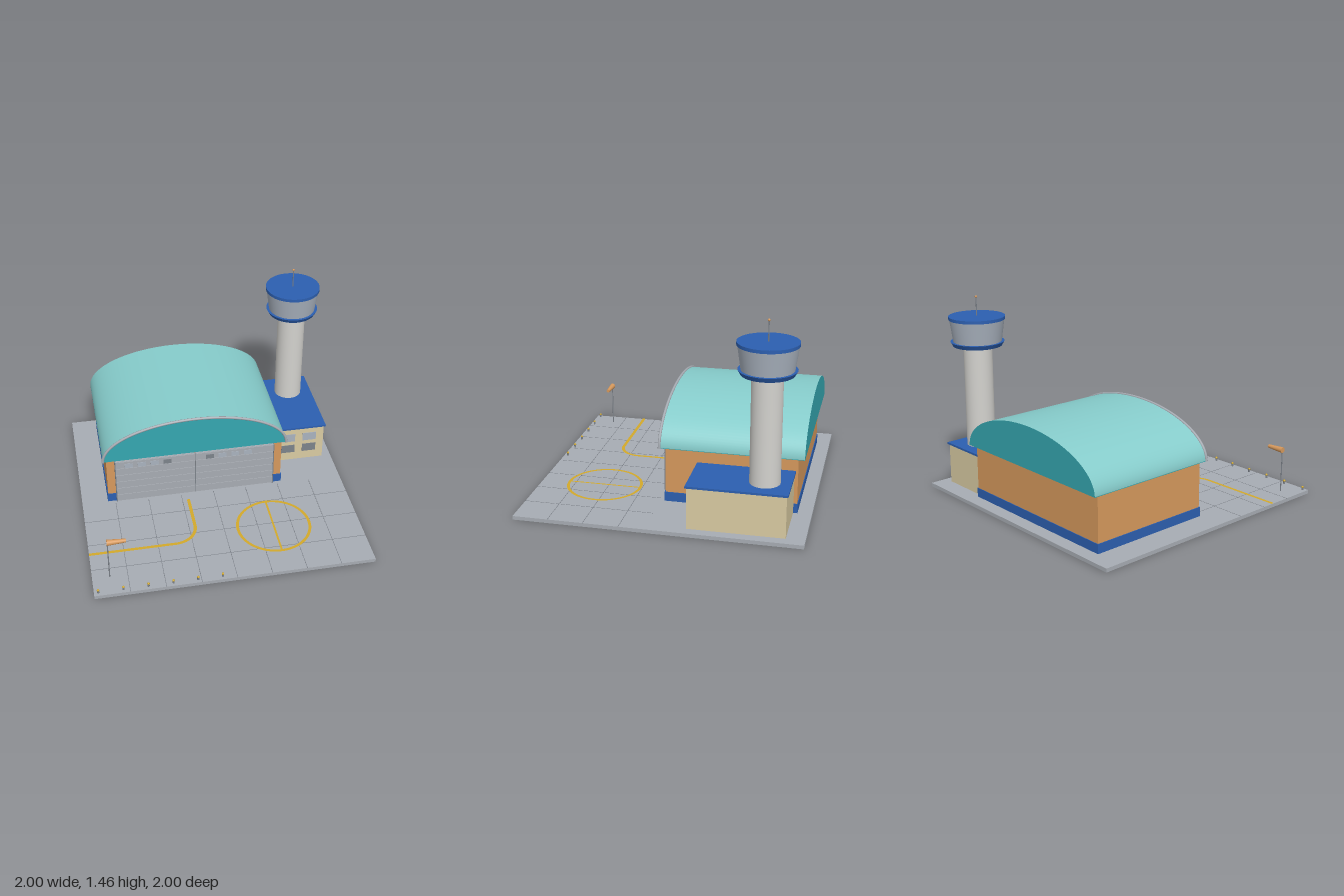
import * as THREE from 'three';

const paint = (name, color) => {
  const m = new THREE.MeshStandardMaterial({ color });
  m.name = name;
  return m;
};

export function createModel() {
  const concrete = paint('concrete grey', 0xa7acb3);
  const orange = paint('wall orange', 0xd6995d);
  const blue = paint('trim blue', 0x2c5fb0);
  const paleTeal = paint('roof pale teal', 0x86cccb);
  const teal = paint('gable teal', 0x35a7b0);
  const beige = paint('annex beige', 0xd9cba2);
  const plaster = paint('tower plaster', 0xd3d2ce);
  const glass = paint('glass grey', 0xa9b2be);
  const dark = paint('dark grey', 0x7d838b);
  const yellow = paint('marking yellow', 0xd2a92c);
  paleTeal.side = THREE.DoubleSide;

  const model = new THREE.Group();
  model.name = 'airfield';
  const group = (name) => {
    const g = new THREE.Group();
    g.name = name;
    model.add(g);
    return g;
  };
  const add = (parent, name, geo, mat, x = 0, y = 0, z = 0) => {
    const mesh = new THREE.Mesh(geo, mat);
    mesh.name = name;
    mesh.position.set(x, y, z);
    parent.add(mesh);
    return mesh;
  };
  // Box given by its minimum and maximum on each axis
  const box = (parent, name, mat, x0, x1, y0, y1, z0, z1) =>
    add(parent, name, new THREE.BoxGeometry(x1 - x0, y1 - y0, z1 - z0), mat,
      (x0 + x1) / 2, (y0 + y1) / 2, (z0 + z1) / 2);
  // Upright round part from y0 to y1
  const round = (parent, name, mat, x, z, y0, y1, r0, r1 = r0, sides = 40) =>
    add(parent, name, new THREE.CylinderGeometry(r1, r0, y1 - y0, sides), mat, x, (y0 + y1) / 2, z);

  const G = 0.027; // top of the apron

  // Apron with slab joints
  const apron = group('apron');
  box(apron, 'slab', concrete, -1, 1, 0, G, -1, 1);
  for (let i = -3; i <= 3; i++)
    box(apron, 'joint', dark, i * 0.25 - 0.002, i * 0.25 + 0.002, G - 0.002, G + 0.001, 0.07, 1);
  for (let i = 1; i <= 3; i++)
    box(apron, 'joint', dark, -1, 1, G - 0.002, G + 0.001, i * 0.25 - 0.002, i * 0.25 + 0.002);

  // Painted taxi line and landing circle
  const markings = group('markings');
  const flat = (name, geo, x = 0, z = 0) => {
    geo.rotateX(-Math.PI / 2);
    return add(markings, name, geo, yellow, x, G + 0.003, z);
  };
  flat('taxiLine', new THREE.PlaneGeometry(0.63, 0.024), -0.685, 0.593);
  flat('taxiBend', new THREE.RingGeometry(0.153, 0.177, 24, 1, -Math.PI / 2, Math.PI / 2), -0.37, 0.428);
  flat('taxiLead', new THREE.PlaneGeometry(0.024, 0.298), -0.205, 0.279);
  flat('landingCircle', new THREE.RingGeometry(0.256, 0.277, 64), 0.365, 0.53);
  flat('landingLine', new THREE.PlaneGeometry(0.014, 0.52), 0.365, 0.53);

  // Hangar body
  const hangar = group('hangar');
  box(hangar, 'walls', orange, -0.8, 0.53, G, 0.43, -0.895, 0.033);
  box(hangar, 'plinth', blue, -0.806, 0.536, G, 0.095, -0.9, 0.04);

  // Vaulted roof: half an elliptical cylinder with gable ends
  const cx = -0.135, rx = 0.69, ry = 0.307, zb = -0.94, zf = 0.07, eave = 0.43;
  const vault = new THREE.CylinderGeometry(1, 1, zf - zb, 56, 1, true, Math.PI / 2, Math.PI);
  vault.rotateX(Math.PI / 2).scale(rx, ry, 1);
  add(hangar, 'roof', vault, paleTeal, cx, eave, (zf + zb) / 2);
  for (const [name, z, turn] of [['frontGable', zf, 0], ['backGable', zb, Math.PI]]) {
    const gable = new THREE.CircleGeometry(1, 56, 0, Math.PI).scale(rx, ry, 1);
    add(hangar, name, gable, teal, cx, eave, z).rotation.y = turn;
  }
  box(hangar, 'soffit', teal, cx - rx, cx + rx, eave, eave + 0.004, zb + 0.001, zf - 0.001);
  const arch = [];
  for (let i = 0; i <= 32; i++) {
    const a = (Math.PI * i) / 32;
    arch.push(new THREE.Vector3(rx * Math.cos(a), ry * Math.sin(a), 0));
  }
  add(hangar, 'roofRim', new THREE.TubeGeometry(new THREE.CatmullRomCurve3(arch), 80, 0.01, 8),
    concrete, cx, eave, 0.072);

  // Two sectional doors, each with four windows
  const doors = group('doors');
  [[-0.733, -0.138], [-0.132, 0.463]].forEach(([x0, x1], d) => {
    box(doors, 'doorLeaf', concrete, x0, x1, G + 0.003, 0.4, 0.03, 0.046);
    const rows = 6, h = (0.4 - G - 0.003) / rows;
    for (let r = 0; r < rows; r++) {
      const y = G + 0.003 + r * h;
      box(doors, 'doorPanel', concrete, x0, x1, y + 0.002, y + h - 0.002, 0.045, 0.053);
    }
    for (let i = 0; i < 4; i++) {
      const x = (d ? -0.025 : -0.635) + i * 0.097;
      const mat = i === (d ? 0 : 3) ? dark : glass;
      box(doors, 'doorWindow', mat, x - 0.03, x + 0.03, 0.342, 0.38, 0.05, 0.056);
    }
  });
  box(doors, 'doorGap', dark, -0.138, -0.132, G, 0.4, 0.03, 0.05);
  box(doors, 'doorPost', dark, 0.463, 0.47, G, 0.4, 0.03, 0.055);
  box(doors, 'doorPost', dark, -0.74, -0.733, G, 0.4, 0.03, 0.055);

  // Annex beside the hangar
  const annex = group('annex');
  box(annex, 'annexWalls', beige, 0.53, 0.93, G, 0.325, -0.87, -0.203);
  box(annex, 'annexRoof', blue, 0.531, 0.942, 0.325, 0.34, -0.88, -0.193);
  for (const x of [0.648, 0.816])
    for (const [y, mat] of [[0.135, dark], [0.241, glass]])
      box(annex, 'annexWindow', mat, x - 0.054, x + 0.054, y - 0.035, y + 0.035, -0.205, -0.199);

  // Control tower
  const tower = group('controlTower');
  const tx = 0.757, tz = -0.7;
  round(tower, 'shaft', plaster, tx, tz, G, 1.1, 0.105);
  round(tower, 'cabFloor', blue, tx, tz, 1.095, 1.127, 0.178, 0.196);
  round(tower, 'cabGlass', glass, tx, tz, 1.127, 1.292, 0.176, 0.2);
  round(tower, 'cabRoof', blue, tx, tz, 1.29, 1.313, 0.205);
  round(tower, 'antenna', dark, tx, tz, 1.31, 1.45, 0.004, 0.004, 8);
  add(tower, 'beacon', new THREE.SphereGeometry(0.009, 12, 8), orange, tx, 1.453, tz);

  // Windsock
  const windsock = group('windsock');
  round(windsock, 'pole', dark, -0.876, 0.83, G, 0.36, 0.004, 0.004, 8);
  const sock = new THREE.CylinderGeometry(0.022, 0.013, 0.132, 16).rotateZ(Math.PI / 2);
  add(windsock, 'sock', sock, orange, -0.814, 0.348, 0.83);

  // Row of edge lights
  const lights = group('edgeLights');
  for (let i = 0; i < 6; i++) {
    const x = -0.97 + i * 0.174;
    round(lights, 'lightBase', dark, x, 0.97, G, 0.046, 0.008, 0.008, 10);
    add(lights, 'lamp', new THREE.SphereGeometry(0.009, 10, 8), yellow, x, 0.05, 0.97);
  }
  return model;
}
